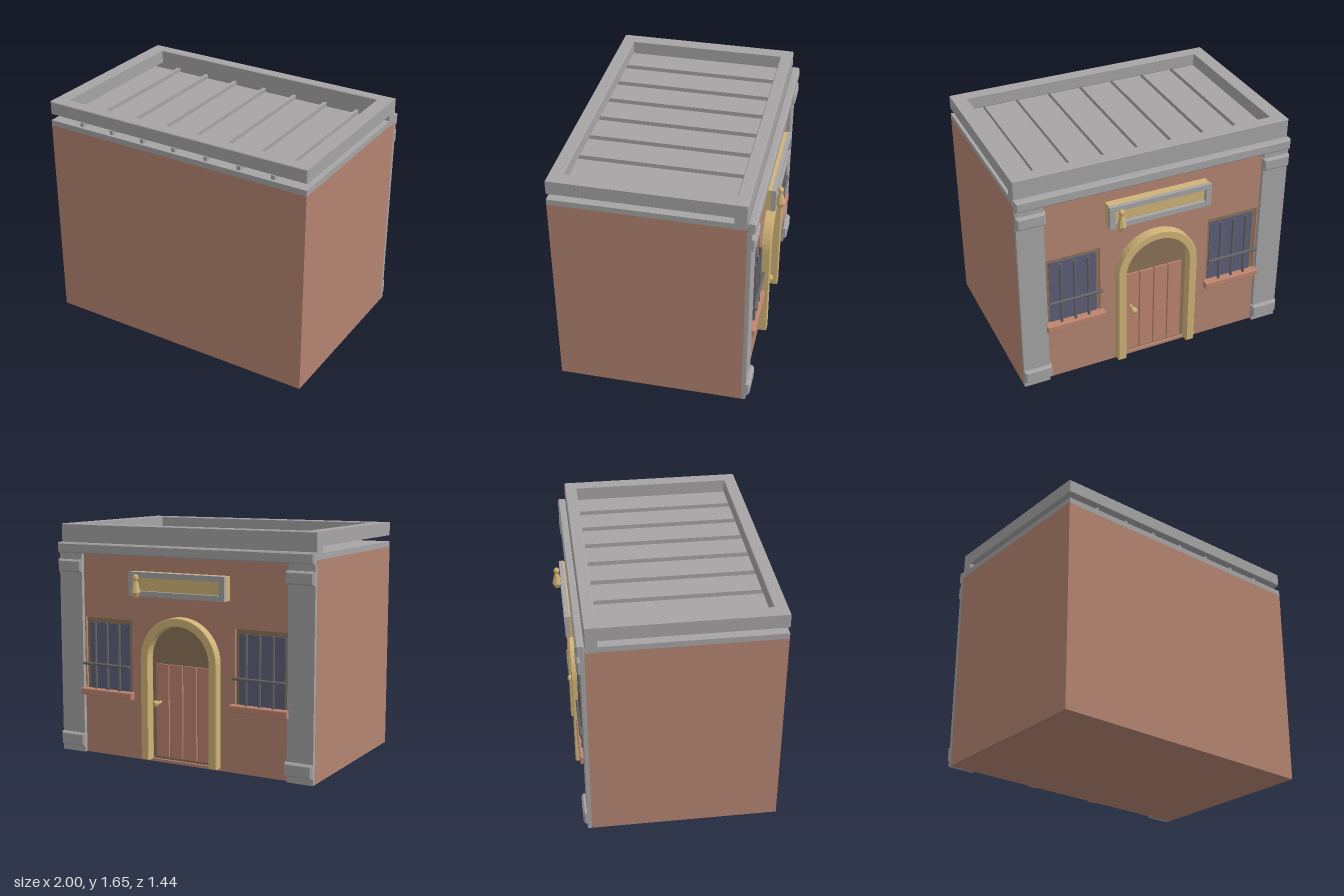
import * as THREE from 'three';

const mat = (name, color) => {
  const m = new THREE.MeshStandardMaterial({ color });
  m.name = name;
  return m;
};

export function createModel() {
  const root = new THREE.Group();
  root.name = 'building';
  const wall = mat('brick wall', 0xb38471);
  const stone = mat('grey stone', 0xa6a4a4);
  const gold = mat('sandy gold', 0xd0b377);
  const brown = mat('dark recess', 0x8c7258);
  const wood = mat('red wood', 0xbd8470);
  const glass = mat('window glass', 0x5c5e78);
  const iron = mat('iron bars', 0x66666a);

  const add = (name, geo, m, parent = root) => {
    const mesh = new THREE.Mesh(geo, m);
    mesh.name = name;
    parent.add(mesh);
    return mesh;
  };
  // box given by its limits
  const box = (name, m, x0, x1, y0, y1, z0, z1, parent) => {
    const g = new THREE.BoxGeometry(x1 - x0, y1 - y0, z1 - z0);
    g.translate((x0 + x1) / 2, (y0 + y1) / 2, (z0 + z1) / 2);
    return add(name, g, m, parent);
  };
  // box with chamfered edges, given by its limits
  const chamferBox = (name, m, x0, x1, y0, y1, z0, z1, b, parent) => {
    const s = rect(x0 + b, x1 - b, y0 + b, y1 - b, THREE.Shape);
    const g = new THREE.ExtrudeGeometry(s, {
      depth: z1 - z0 - 2 * b, bevelThickness: b, bevelSize: b, bevelSegments: 1,
    });
    g.translate(0, 0, z0 + b);
    return add(name, g, m, parent);
  };
  const rect = (x0, x1, y0, y1, Type) => {
    const p = new Type();
    p.moveTo(x0, y0);
    p.lineTo(x1, y0);
    p.lineTo(x1, y1);
    p.lineTo(x0, y1);
    p.closePath();
    return p;
  };
  const arch = (r, bottom, spring, Type) => {
    const p = new Type();
    p.moveTo(-r, bottom);
    p.lineTo(r, bottom);
    p.lineTo(r, spring);
    p.absarc(0, spring, r, 0, Math.PI, false);
    p.closePath();
    return p;
  };

  // main block and facade wall with openings
  box('body', wall, -1, 1, 0, 1.47, -0.55, 0.72);
  const facade = rect(-1, 1, 0, 1.47, THREE.Shape);
  facade.holes.push(arch(0.25, 0.02, 0.74, THREE.Path));
  for (const s of [-1, 1]) {
    facade.holes.push(rect(s * 0.605 - 0.195, s * 0.605 + 0.195, 0.47, 0.99, THREE.Path));
  }
  const facadeGeo = new THREE.ExtrudeGeometry(facade, { depth: 0.025, bevelEnabled: false, curveSegments: 16 });
  add('facadeWall', facadeGeo.translate(0, 0, -0.575), wall);

  // roof slab and ribs
  box('roofSlab', stone, -1, 1, 1.47, 1.51, -0.575, 0.72);
  for (let i = -3; i <= 3; i++) {
    box('roofRib', stone, i * 0.25 - 0.012, i * 0.25 + 0.012, 1.51, 1.54, -0.49, 0.7);
  }

  // raised parapet ring, solid over the facade
  const ring = new THREE.Group();
  ring.name = 'parapet';
  root.add(ring);
  for (const s of [-1, 1]) {
    chamferBox('parapetSide', stone, s * 0.95 - 0.05, s * 0.95 + 0.05, 1.555, 1.65, -0.57, 0.72, 0.005, ring);
  }
  chamferBox('parapetRear', stone, -0.995, 0.995, 1.555, 1.65, 0.63, 0.72, 0.005, ring);
  chamferBox('parapetFacade', stone, -1, 1, 1.465, 1.65, -0.575, -0.49, 0.005, ring);
  chamferBox('cornice', stone, -1, 1, 1.445, 1.52, -0.63, -0.57, 0.01, ring);

  // corner pilasters
  for (const s of [-1, 1]) {
    const p = new THREE.Group();
    p.name = s > 0 ? 'leftPilaster' : 'rightPilaster';
    root.add(p);
    box('shaft', stone, s * 0.905 - 0.095, s * 0.905 + 0.095, 0, 1.445, -0.603, -0.575, p);
    chamferBox('base', stone, s * 0.9 - 0.1, s * 0.9 + 0.1, 0.045, 0.14, -0.63, -0.575, 0.012, p);
    chamferBox('capital', stone, s * 0.9 - 0.1, s * 0.9 + 0.1, 1.31, 1.4, -0.63, -0.575, 0.012, p);
  }

  // door
  const door = new THREE.Group();
  door.name = 'door';
  root.add(door);
  const back = new THREE.ExtrudeGeometry(arch(0.25, 0.02, 0.74, THREE.Shape), {
    depth: 0.006, bevelEnabled: false, curveSegments: 16,
  });
  add('doorRecess', back.translate(0, 0, -0.556), brown, door);
  for (let i = 0; i < 4; i++) {
    const x = -0.22 + i * 0.11;
    box('doorPlank', wood, x + 0.005, x + 0.105, 0.04, 0.7, -0.57, -0.555, door);
  }
  const frame = new THREE.Shape();
  frame.moveTo(0.295, 0.025);
  frame.lineTo(0.295, 0.74);
  frame.absarc(0, 0.74, 0.295, 0, Math.PI, false);
  frame.lineTo(-0.295, 0.025);
  frame.lineTo(-0.245, 0.025);
  frame.lineTo(-0.245, 0.74);
  frame.absarc(0, 0.74, 0.245, Math.PI, 0, true);
  frame.lineTo(0.245, 0.025);
  frame.closePath();
  const frameGeo = new THREE.ExtrudeGeometry(frame, {
    depth: 0.06, bevelThickness: 0.005, bevelSize: 0.005, bevelSegments: 1, curveSegments: 12,
  });
  add('doorFrame', frameGeo.translate(0, 0, -0.635), gold, door);
  const knobStem = new THREE.CylinderGeometry(0.011, 0.011, 0.06, 8).rotateX(Math.PI / 2);
  add('knobStem', knobStem, gold, door).position.set(0.18, 0.43, -0.6);
  const knob = add('doorKnob', new THREE.SphereGeometry(0.025, 8, 6), gold, door);
  knob.position.set(0.18, 0.43, -0.635);
  knob.scale.z = 0.8;

  // barred windows with sills
  for (const s of [-1, 1]) {
    const w = new THREE.Group();
    w.name = s > 0 ? 'leftWindow' : 'rightWindow';
    w.position.x = s * 0.605;
    root.add(w);
    box('windowRecess', brown, -0.195, 0.195, 0.47, 0.99, -0.556, -0.55, w);
    box('windowGlass', glass, -0.17, 0.17, 0.47, 0.955, -0.562, -0.556, w);
    chamferBox('windowSill', wood, -0.215, 0.215, 0.43, 0.48, -0.627, -0.575, 0.006, w);
    for (const x of [-0.1, 0, 0.1]) {
      const bar = new THREE.CylinderGeometry(0.011, 0.011, 0.49, 8);
      add('verticalBar', bar, iron, w).position.set(x, 0.715, -0.597);
    }
    const cross = new THREE.CylinderGeometry(0.011, 0.011, 0.39, 8).rotateZ(Math.PI / 2);
    add('crossBar', cross, iron, w).position.set(0, 0.66, -0.612);
  }

  // sign board with border
  const sign = new THREE.Group();
  sign.name = 'signBoard';
  root.add(sign);
  box('signPanel', gold, -0.37, 0.37, 1.175, 1.34, -0.637, -0.575, sign);
  const border = rect(-0.375, 0.375, 1.175, 1.342, THREE.Shape);
  border.holes.push(rect(-0.335, 0.335, 1.212, 1.305, THREE.Path));
  const borderGeo = new THREE.ExtrudeGeometry(border, { depth: 0.03, bevelEnabled: false });
  add('signBorder', borderGeo.translate(0, 0, -0.665), stone, sign);

  // faceted hanging ornament on the sign
  const profile = [
    [0, 1.163], [0.018, 1.17], [0.034, 1.205], [0.03, 1.222], [0.014, 1.285],
    [0.02, 1.298], [0.02, 1.315], [0.01, 1.328], [0, 1.33],
  ].map(([r, y]) => new THREE.Vector2(r, y));
  const ornament = new THREE.LatheGeometry(profile, 8).toNonIndexed();
  ornament.computeVertexNormals();
  add('signOrnament', ornament, gold, sign).position.set(0.3, 0, -0.688);

  return root;
}
